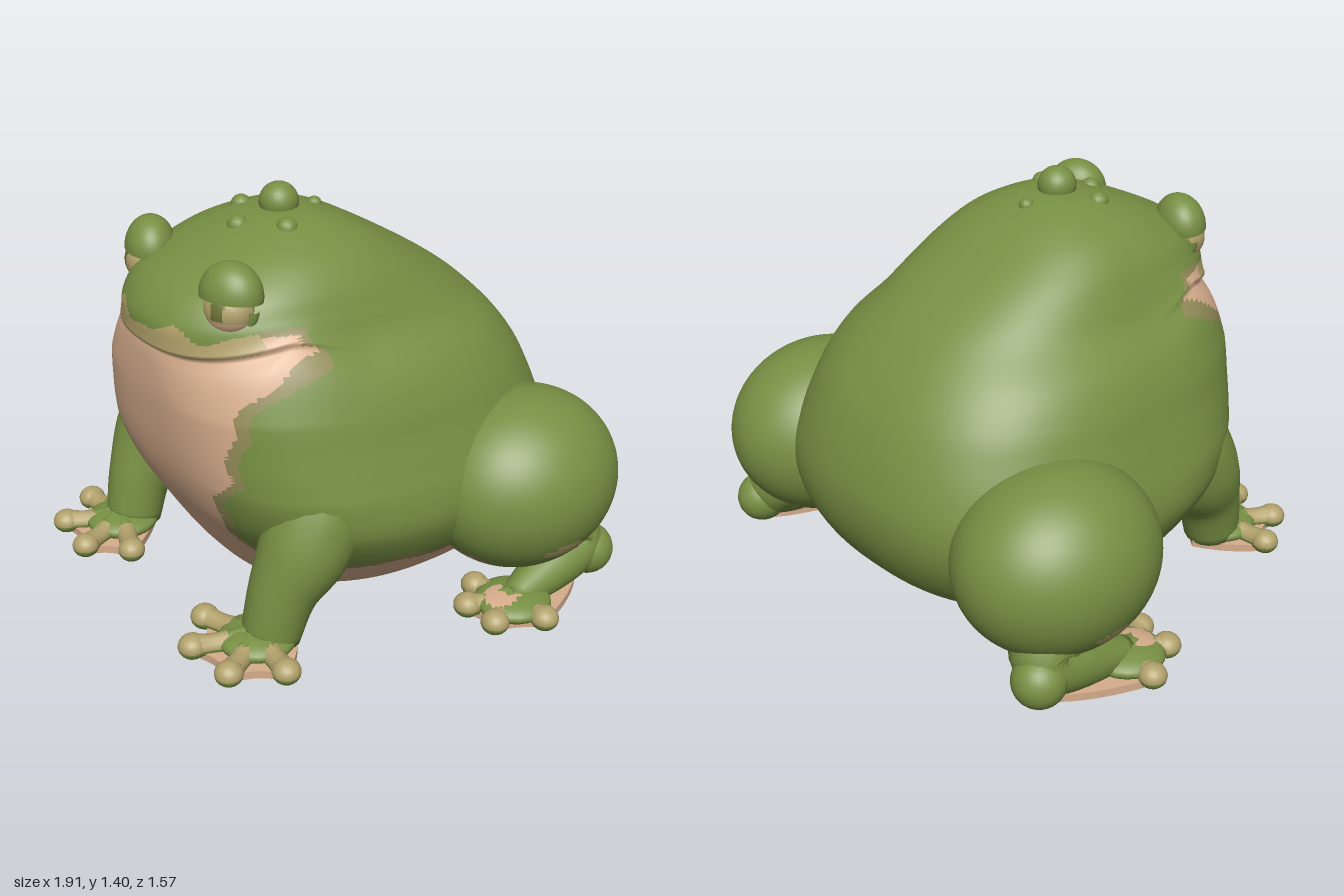
import * as THREE from 'three';

const mat = (name, color) => Object.assign(new THREE.MeshStandardMaterial({ color }), { name });
const MATS = [
  mat('skin green', 0x778f43),
  mat('belly tan', 0xd6ad8c),
  mat('border olive', 0x918a58),
  mat('lip and toe straw', 0xb2a26c),
  mat('pupil olive', 0x6c7138),
];
const GREEN = 0, TAN = 1, OLIVE = 2, STRAW = 3, PUPIL = 4;
const { smoothstep, lerp } = THREE.MathUtils;

// Piecewise linear lookup in a short [key, value] list
function lookup(list, k) {
  if (k <= list[0][0]) return list[0][1];
  for (let i = 1; i < list.length; i++) {
    const [a, va] = list[i - 1], [b, vb] = list[i];
    if (k <= b) return lerp(va, vb, (k - a) / (b - a));
  }
  return list[list.length - 1][1];
}

// Sort the triangles into colour groups by a rule on their centre
function paint(geo, rule) {
  const p = geo.attributes.position, src = geo.index.array, sets = MATS.map(() => []);
  for (let i = 0; i < src.length; i += 3) {
    const t = [src[i], src[i + 1], src[i + 2]];
    const mid = (get) => t.reduce((s, v) => s + get(v), 0) / 3;
    const c = rule(mid((v) => p.getX(v)), mid((v) => p.getY(v)), mid((v) => p.getZ(v)), t);
    sets[c].push(...t);
  }
  geo.setIndex(sets.flat());
  geo.clearGroups();
  let start = 0;
  sets.forEach((s, m) => {
    if (s.length) geo.addGroup(start, s.length, m);
    start += s.length;
  });
  return geo;
}

// Closed skin over a list of rings, with a centre point capping each end
function loft(rings) {
  const n = rings[0].length, pts = rings.flat(), idx = [], last = (rings.length - 1) * n;
  for (let i = 0; i < rings.length - 1; i++) for (let j = 0; j < n; j++) {
    const a = i * n + j, b = i * n + (j + 1) % n;
    idx.push(a, b, b + n, a, b + n, a + n);
  }
  for (const ring of [rings[0], rings[rings.length - 1]])
    pts.push(ring.reduce((s, v) => s.add(v), new THREE.Vector3()).divideScalar(n));
  for (let j = 0; j < n; j++) {
    const k = (j + 1) % n;
    idx.push(rings.length * n, k, j, rings.length * n + 1, last + j, last + k);
  }
  const geo = new THREE.BufferGeometry().setFromPoints(pts);
  geo.setIndex(idx);
  geo.computeVertexNormals();
  return geo;
}

function add(group, name, geo, material) {
  const mesh = new THREE.Mesh(geo, material);
  mesh.name = name;
  group.add(mesh);
  return mesh;
}

// Tapering limb through [x, y, z, radius] points
function limb(points, ref, steps = 24, sides = 20) {
  const path = new THREE.CatmullRomCurve3(points.map((p) => new THREE.Vector3(p[0], p[1], p[2])), false, 'catmullrom');
  const size = new THREE.CatmullRomCurve3(points.map((p) => new THREE.Vector3(p[3], 0, 0)), false, 'catmullrom');
  const rings = [];
  for (let i = 0; i <= steps; i++) {
    const c = path.getPoint(i / steps), t = path.getTangent(i / steps), r = size.getPoint(i / steps).x;
    const n = ref.clone().addScaledVector(t, -ref.dot(t)).normalize(), b = t.clone().cross(n);
    rings.push(Array.from({ length: sides }, (_, j) => {
      const a = (j / sides) * Math.PI * 2;
      return c.clone().addScaledVector(n, r * Math.cos(a)).addScaledVector(b, r * Math.sin(a));
    }));
  }
  return loft(rings);
}

const ball = (x, y, z, rx, ry = rx, rz = rx, seg = 24) =>
  new THREE.SphereGeometry(1, seg, Math.round(seg * 0.7)).scale(rx, ry, rz).translate(x, y, z);

// Body and head: [height, half width, front z, back z]
const SLICES = [
  [0.605, 0.12, 0.12, -0.2], [0.625, 0.28, 0.25, -0.38], [0.66, 0.4, 0.34, -0.5], [0.72, 0.5, 0.4, -0.6],
  [0.8, 0.58, 0.46, -0.69], [0.9, 0.65, 0.52, -0.75], [1, 0.69, 0.575, -0.78], [1.1, 0.685, 0.615, -0.785],
  [1.2, 0.655, 0.64, -0.765], [1.3, 0.622, 0.655, -0.73], [1.4, 0.59, 0.665, -0.68], [1.5, 0.54, 0.67, -0.605],
  [1.6, 0.455, 0.675, -0.505], [1.68, 0.415, 0.665, -0.4], [1.76, 0.375, 0.6, -0.275], [1.83, 0.31, 0.47, -0.155],
  [1.88, 0.22, 0.35, -0.06], [1.915, 0.12, 0.24, 0.04], [1.925, 0.02, 0.14, 0.12],
];
const MOUTH = 1.575;
const THROAT = [[0.75, 0.4], [0.82, 0.33], [0.9, 0.28], [1, 0.27], [1.1, 0.29], [1.2, 0.37], [1.4, 0.385], [1.5, 0.425], [1.6, 0.46]];
// Squareness of the front outline: round head and belly, broad shoulders
const SQUARE = [[0.8, 2.2], [1, 2.6], [1.15, 2.8], [1.4, 2.7], [1.55, 2.25]];

function bodyGeometry() {
  const curve = (f) => new THREE.CatmullRomCurve3(SLICES.map(f), false, 'catmullrom');
  const front = curve((s) => new THREE.Vector3(s[1], s[0], s[2]));
  const back = curve((s) => new THREE.Vector3(0, s[0], s[3]));
  const rows = 180, sides = 144, heights = [], rings = [];
  const pow = (v, e) => Math.sign(v) * Math.abs(v) ** e;
  for (let i = 0; i <= rows; i++) {
    const f = front.getPoint(i / rows), zb = back.getPoint(i / rows).z;
    const mid = (f.z + zb) / 2, half = (f.z - zb) / 2;
    rings.push(Array.from({ length: sides }, (_, j) => {
      const a = (j / sides) * Math.PI * 2, e = 2 / (Math.cos(a) > 0 ? lookup(SQUARE, f.y) : 2.5);
      let x = f.x * pow(Math.sin(a), e), z = mid + half * pow(Math.cos(a), e);
      const face = smoothstep(z, 0.1, 0.4);
      // lip overhang above the throat, and corners of the mouth turned up
      if (f.y < MOUTH) {
        const k = 1 - 0.035 * face * Math.exp((f.y - MOUTH) / 0.06);
        x *= k; z = mid + (z - mid) * k;
      }
      const y = f.y + 2 * Math.min(Math.abs(x), 0.42) ** 4 * face * Math.exp(-(((f.y - MOUTH) / 0.12) ** 2));
      heights.push(f.y);
      return new THREE.Vector3(x, y, z);
    }));
  }
  return paint(loft(rings), (x, y, z, t) => {
    const h = (heights[t[0]] + heights[t[1]] + heights[t[2]]) / 3 || y, ax = Math.abs(x);
    if (h > MOUTH) {
      // pale cheek behind the mouth corner, straw lip in front of it
      if (y < 1.665 && z > 0.345 && z < 0.45) return TAN;
      if (y < 1.685 && z > 0.315 && z < 0.45) return OLIVE;
      const top = 1.65 + 0.018 * Math.sin(ax * 22 - 1.5) + 0.01 * Math.sin(x * 41 + 1);
      return h < top && z > 0.4 ? STRAW : GREEN;
    }
    const wave = 0.012 * Math.sin(y * 38);
    const belly = lerp(0.74, 0.84, smoothstep(z, -0.7, -0.1)) + 0.008 * Math.sin(z * 20);
    const width = lookup(THROAT, y) + wave;
    if (y < belly || (z > 0.3 && ax < width)) return TAN;
    if (y < belly + 0.03 || (z > 0.27 && ax < width + 0.04)) return OLIVE;
    return GREEN;
  });
}

// Webbed foot: heel [x, z], then toe tips [x, z] in order around the foot
function addFoot(group, name, s, heel, palm, palmTop, tips) {
  const foot = new THREE.Group();
  foot.name = name;
  const web = new THREE.Shape();
  web.moveTo(s * heel[0], -heel[1]);
  // scalloped between toes, bulging along the sides of the foot
  [...tips, heel].forEach(([x, z], i) => {
    const from = i ? tips[i - 1] : heel, pull = i && i < tips.length ? 0.25 : -0.3;
    const cx = lerp((from[0] + x) / 2, palm[0], pull), cz = lerp((from[1] + z) / 2, palm[1], pull);
    web.quadraticCurveTo(s * cx, -cz, s * x, -z);
  });
  add(foot, 'sole', new THREE.ExtrudeGeometry(web, { depth: 0.028, bevelEnabled: false, curveSegments: 8 })
    .rotateX(-Math.PI / 2).translate(0, 0.605, 0), MATS[TAN]);
  add(foot, 'palm', paint(ball(s * palm[0], 0.65, palm[1], 0.13, 0.045, 0.13), (x, y, z) => {
    if (y < 0.628) return TAN;
    return Math.hypot(x - s * palm[0], z - palm[1] - 0.05) < 0.06 ? palmTop : GREEN;
  }), MATS);
  const up = new THREE.Vector3(0, 1, 0);
  for (const [x, z] of tips) {
    const toe = limb([[s * palm[0], 0.655, palm[1], 0.05],
      [s * lerp(palm[0], x, 0.6), 0.645, lerp(palm[1], z, 0.6), 0.036], [s * x, 0.645, z, 0.041]], up, 14, 12);
    add(foot, 'toe', paint(toe, (px, py, pz) =>
      (Math.hypot(px - s * palm[0], pz - palm[1]) > 0.1 && py > 0.64 ? STRAW : GREEN)), MATS);
    add(foot, 'toeTip', paint(ball(s * x, 0.646, z, 0.048, 0.042, 0.048, 18),
      (px, py) => (py > 0.642 ? STRAW : GREEN)), MATS);
  }
  group.add(foot);
}

function addEye(group, s) {
  const eye = new THREE.Group();
  eye.name = s > 0 ? 'leftEye' : 'rightEye';
  add(eye, 'eyeball', paint(ball(0, -0.04, 0.012, 0.084, 0.078, 0.074, 48), (x, y, z) => {
    if (z < 0.005) return GREEN;
    if (Math.abs(x) < 0.024 && y > -0.055) return PUPIL;
    return y < -0.06 ? TAN : STRAW;
  }), MATS);
  const lid = add(eye, 'upperLid', new THREE.SphereGeometry(1, 32, 14, 0, Math.PI * 2, 0, Math.PI * 0.54)
    .scale(0.108, 0.105, 0.084), MATS[GREEN]);
  lid.rotation.x = -0.12;
  lid.position.y = 0.006;
  const lower = add(eye, 'lowerLid', new THREE.TorusGeometry(0.084, 0.02, 10, 24, Math.PI), MATS[GREEN]);
  lower.rotation.z = Math.PI;
  lower.position.set(0, -0.03, 0.008);
  eye.position.set(s * 0.25, 1.772, 0.485);
  eye.rotation.y = s * 0.42;
  group.add(eye);
}

export function createModel() {
  const toad = new THREE.Group();
  toad.name = 'toad';
  add(toad, 'body', bodyGeometry(), MATS);

  // Crown knob and warts
  add(toad, 'crownKnob', ball(0, 1.935, 0.14, 0.066), MATS[GREEN]);
  for (const [x, y, z, r] of [[0.135, 1.895, 0.2, 0.036], [-0.135, 1.895, 0.2, 0.036], [0, 1.897, 0, 0.026], [0, 1.885, 0.3, 0.036]])
    add(toad, 'wart', ball(x, y, z, r, r, r, 14), MATS[GREEN]);

  const side = new THREE.Vector3(1, 0, 0);
  for (const s of [1, -1]) {
    const label = s > 0 ? 'left' : 'right';
    addEye(toad, s);

    // Front leg
    add(toad, label + 'FrontLeg', limb([[s * 0.36, 1.3, 0.18, 0.1], [s * 0.435, 1.13, 0.27, 0.17],
      [s * 0.475, 0.96, 0.365, 0.158], [s * 0.47, 0.81, 0.45, 0.117], [s * 0.46, 0.65, 0.495, 0.1]], side), MATS[GREEN]);
    addFoot(toad, label + 'FrontFoot', s, [0.46, 0.395], [0.455, 0.545], GREEN,
      [[0.655, 0.565], [0.56, 0.72], [0.37, 0.74], [0.25, 0.62]]);

    // Thigh with pale underside and a small side patch
    add(toad, label + 'Thigh', paint(ball(s * 0.6, 1.01, -0.43, 0.312, 0.312, 0.357, 72), (x, y, z) => {
      const ax = Math.abs(x);
      if (y < 0.81 && ax < 0.68 && z > -0.55) return TAN;
      if (ax > 0.7 && Math.hypot((z + 0.42) / 0.085, (y - 0.845) / 0.028) < 1) return STRAW;
      return y < 0.835 && ax < 0.72 && z > -0.58 ? OLIVE : GREEN;
    }), MATS);

    // Shank, heel and hind foot
    add(toad, label + 'Shank', paint(limb([[s * 0.66, 0.84, -0.5, 0.15], [s * 0.72, 0.75, -0.6, 0.1],
      [s * 0.74, 0.7, -0.47, 0.09], [s * 0.77, 0.655, -0.28, 0.05]], side), (x, y) => (y < 0.64 ? TAN : GREEN)), MATS);
    add(toad, label + 'Heel', paint(ball(s * 0.745, 0.715, -0.64, 0.09, 0.09, 0.092),
      (x, y) => (y < 0.645 ? TAN : GREEN)), MATS);
    addFoot(toad, label + 'HindFoot', s, [0.74, -0.6], [0.77, -0.28], TAN,
      [[0.907, -0.3], [0.83, -0.15], [0.7, -0.14], [0.62, -0.24]]);
  }
  return toad;
}
